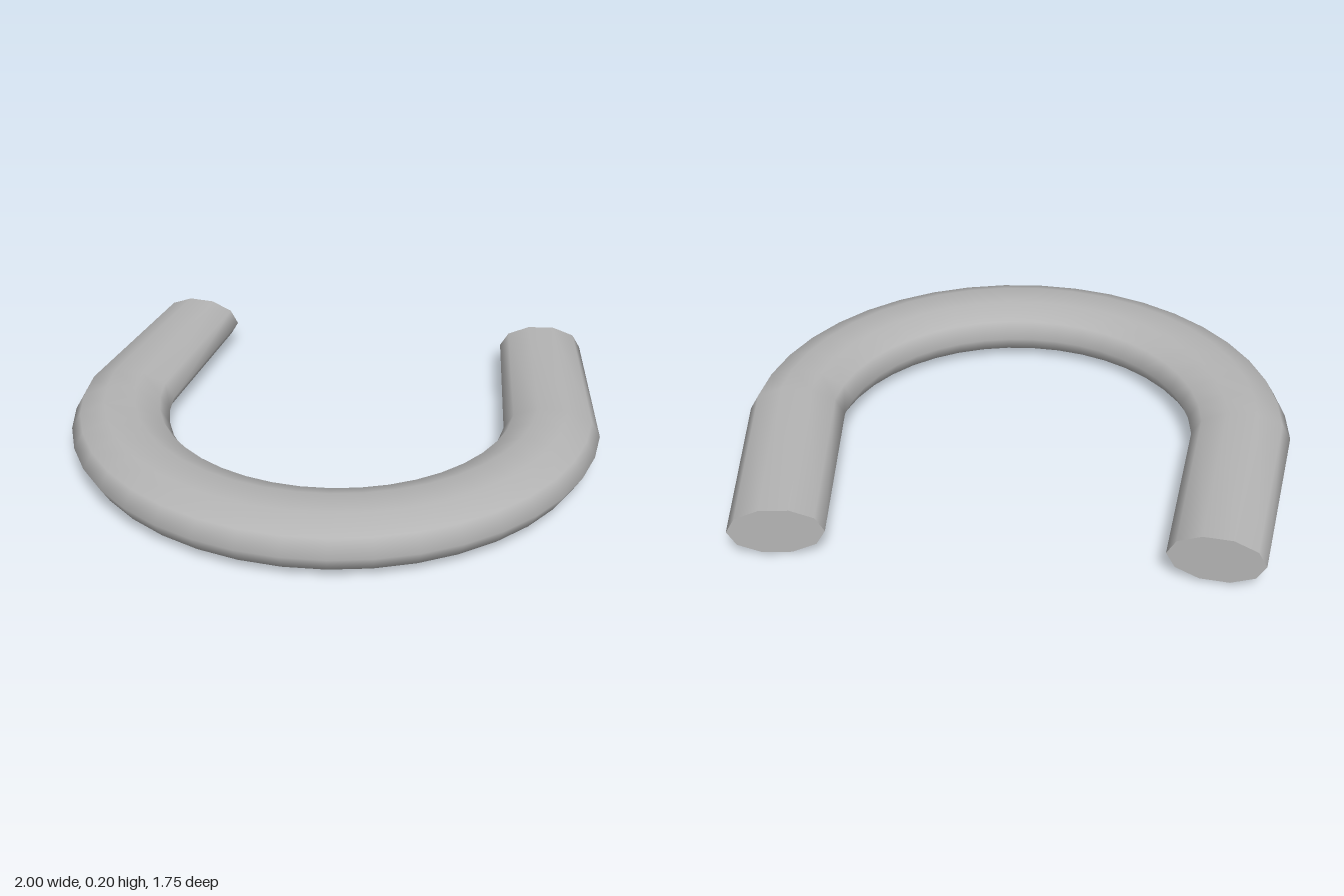
import * as THREE from 'three';

const SIDES = 10;       // corners of the oval section
const ARC_STEPS = 20;   // segments around the half circle
const MID_Y = 0.105;
const ARC_Z = -0.128;   // centre of the bend

// One oval ring: centre (x, z), outward direction (nx, nz), half width and half height
function ring(x, z, nx, nz, rx, ry) {
  const points = [];
  for (let j = 0; j < SIDES; j++) {
    const a = (j / SIDES) * Math.PI * 2;
    const w = rx * Math.cos(a);
    points.push([x + nx * w, MID_Y + ry * Math.sin(a), z + nz * w]);
  }
  return points;
}

function build(points, index) {
  const geometry = new THREE.BufferGeometry();
  geometry.setAttribute('position', new THREE.Float32BufferAttribute(points.flat(), 3));
  geometry.setIndex(index);
  geometry.computeVertexNormals();
  return geometry;
}

export function createModel() {
  const group = new THREE.Group();
  group.name = 'horseshoe';
  const steel = new THREE.MeshStandardMaterial({ color: 0xb4b4b4 });
  steel.name = 'grey steel';

  // Rings run from the left tip, around the bend, to the right tip
  const tip = (s) => ring(s * 0.727, -0.858, s * 0.992, -0.125, 0.164, 0.09);
  const rings = [tip(1)];
  for (let i = 0; i <= ARC_STEPS; i++) {
    const a = (i / ARC_STEPS) * Math.PI;
    const c = Math.cos(a), s = Math.sin(a);
    const rx = 0.179 + 0.014 * s;   // the bar is widest at the toe
    const r = 1 - rx;
    rings.push(ring(r * c, ARC_Z + 1.003 * r * s, c, s, rx, 0.102 + 0.002 * s));
  }
  rings.push(tip(-1));

  // Curved bar, smooth all round
  const index = [];
  for (let i = 0; i < rings.length - 1; i++) {
    for (let j = 0; j < SIDES; j++) {
      const k = (j + 1) % SIDES;
      const a = i * SIDES + j, b = i * SIDES + k;
      index.push(a, b, a + SIDES, b, b + SIDES, a + SIDES);
    }
  }
  const bar = new THREE.Mesh(build(rings.flat(), index), steel);
  bar.name = 'curvedBar';
  group.add(bar);

  // Flat end faces
  [['leftEnd', rings[0], true], ['rightEnd', rings[rings.length - 1], false]].forEach(([name, points, flip]) => {
    const fan = [];
    for (let j = 1; j < SIDES - 1; j++) fan.push(0, flip ? j + 1 : j, flip ? j : j + 1);
    const end = new THREE.Mesh(build(points, fan), steel);
    end.name = name;
    group.add(end);
  });

  return group;
}
